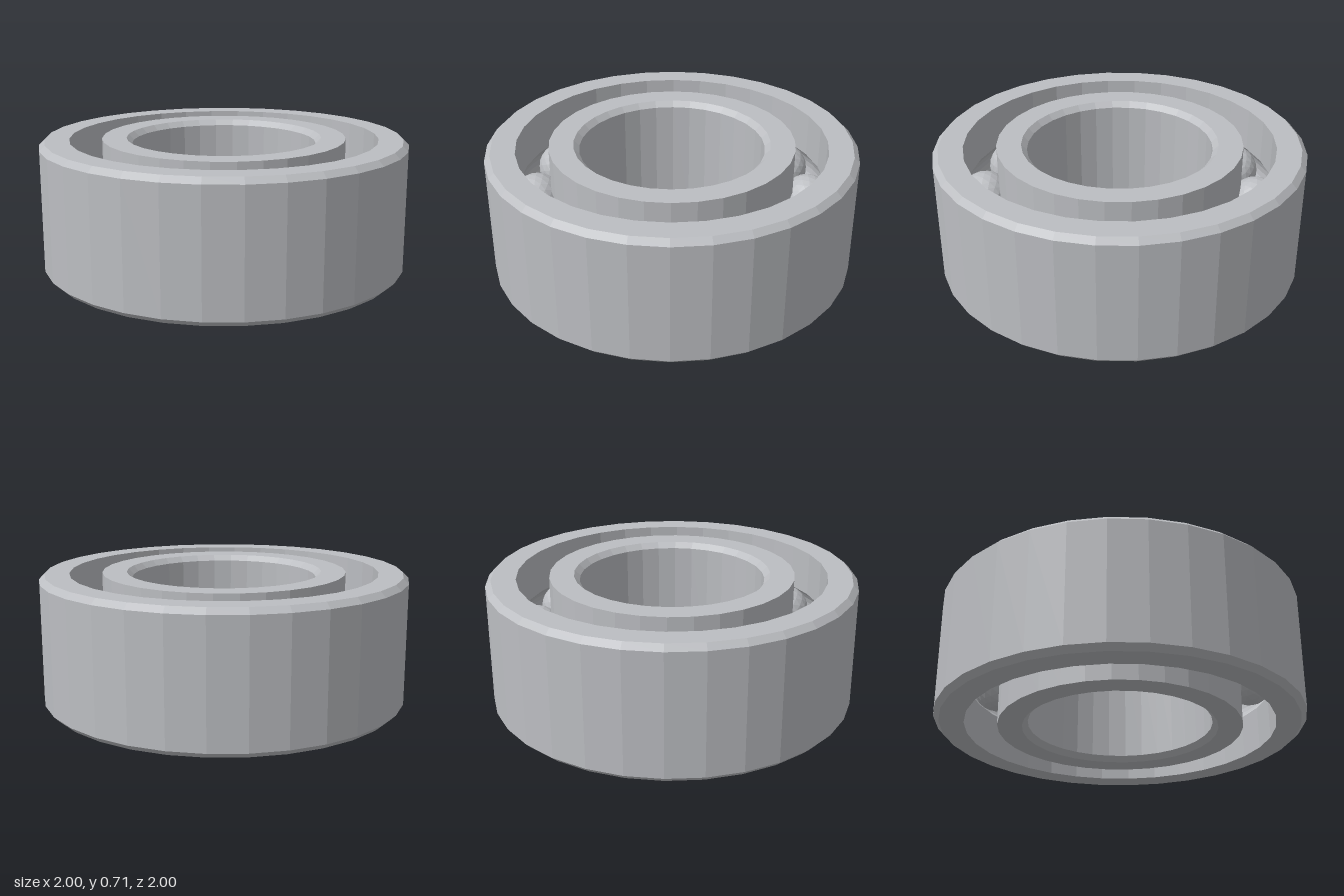
import * as THREE from 'three';

const HEIGHT = 0.715, MID = HEIGHT / 2, CHAMFER = 0.03, SEGMENTS = 32;
const PITCH = 0.75;              // radius of the ball circle
const BALL = 0.14, GROOVE = 0.144;
const OUTER = 1, OUTER_BORE = 0.838, INNER = 0.662, INNER_BORE = 0.5;

// Arc of the ball raceway cut into a ring wall, from angle a to angle b
function groove(a, b, steps = 8) {
  return Array.from({ length: steps + 1 }, (_, i) => {
    const t = a + (b - a) * i / steps;
    return [PITCH + GROOVE * Math.cos(t), MID + GROOVE * Math.sin(t)];
  });
}

function ring(name, profile, material) {
  const points = [...profile, profile[0]].map(([r, y]) => new THREE.Vector2(r, y));
  const mesh = new THREE.Mesh(new THREE.LatheGeometry(points, SEGMENTS), material);
  mesh.name = name;
  return mesh;
}

export function createModel() {
  const group = new THREE.Group();
  group.name = 'ballBearing';
  const steel = new THREE.MeshStandardMaterial({ color: 0xbcbec2, flatShading: true });
  steel.name = 'steel';

  // Outer ring: chamfered outside, raceway inside
  const a = Math.acos((OUTER_BORE - PITCH) / GROOVE);
  group.add(ring('outerRing', [
    [OUTER - CHAMFER, 0], [OUTER, CHAMFER], [OUTER, HEIGHT - CHAMFER], [OUTER - CHAMFER, HEIGHT],
    [OUTER_BORE, HEIGHT], ...groove(a, -a), [OUTER_BORE, 0],
  ], steel));

  // Inner ring: raceway outside, chamfered bore
  const b = Math.acos((PITCH - INNER) / GROOVE);
  group.add(ring('innerRing', [
    [INNER, 0], ...groove(Math.PI + b, Math.PI - b), [INNER, HEIGHT],
    [INNER_BORE + CHAMFER, HEIGHT], [INNER_BORE, HEIGHT - CHAMFER],
    [INNER_BORE, CHAMFER], [INNER_BORE + CHAMFER, 0],
  ], steel));

  // Twelve balls
  const balls = new THREE.Group();
  balls.name = 'balls';
  const ballGeometry = new THREE.IcosahedronGeometry(BALL, 3);
  for (let i = 0; i < 12; i++) {
    const t = i * Math.PI / 6;
    const ball = new THREE.Mesh(ballGeometry, steel);
    ball.name = 'ball';
    ball.position.set(PITCH * Math.sin(t), MID, PITCH * Math.cos(t));
    balls.add(ball);
  }
  group.add(balls);
  return group;
}
